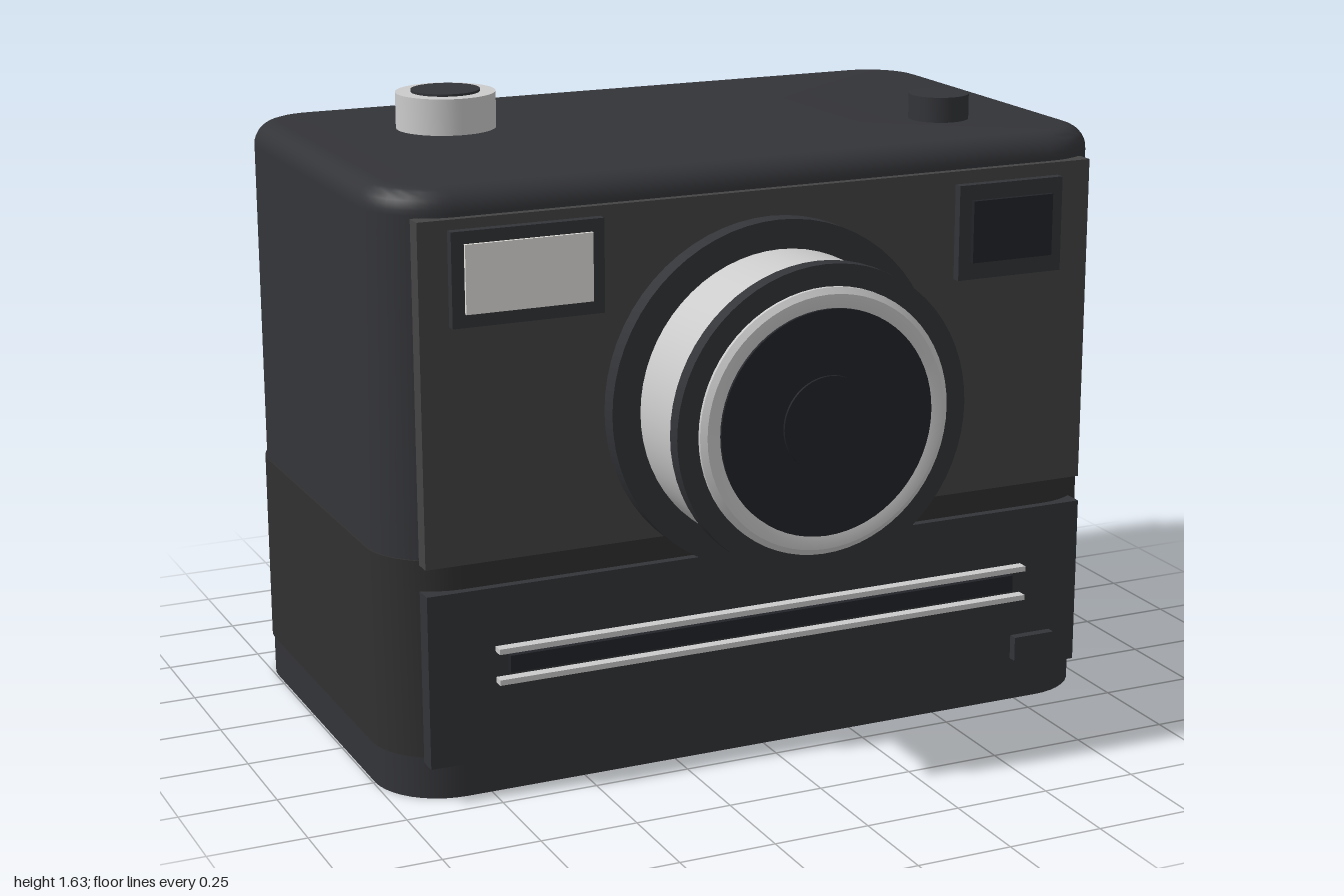
import * as THREE from 'three';
import { toCreasedNormals } from 'three/addons/utils/BufferGeometryUtils.js';

const material = (color) => new THREE.MeshStandardMaterial({ color });
const DARK = material(0x333438);
const BAND = material(0x313030);
const PANEL = material(0x444444);
const BLACK = material(0x222328);
const CHROME = material(0xbcbcbc);
const FLASH = material(0xe4e2de);
const BLUE = material(0x62b4cc);

// Rounded-rectangle solid lofted from rings of [y, inset]
function roundedLoft(halfX, halfZ, zMid, radius, rings, steps = 10) {
  const pos = [], index = [], n = 4 * (steps + 1);
  const sx = [1, -1, -1, 1], sz = [1, 1, -1, -1];
  const addRing = (y, inset, closed) => {
    for (let c = 0; c < 4; c++) for (let i = 0; i <= steps; i++) {
      const a = (c + i / steps) * Math.PI / 2, r = radius - inset;
      if (closed) pos.push(0, y, zMid);
      else pos.push(sx[c] * (halfX - radius) + r * Math.cos(a), y,
        zMid + sz[c] * (halfZ - radius) + r * Math.sin(a));
    }
  };
  addRing(rings[0][0], 0, true);
  rings.forEach(([y, inset]) => addRing(y, inset, false));
  addRing(rings[rings.length - 1][0], 0, true);
  const last = rings.length;
  for (let j = 0; j <= last; j++) for (let i = 0; i < n; i++) {
    const a = j * n + i, b = j * n + (i + 1) % n;
    if (j < last) index.push(a, a + n, b + n);
    if (j > 0) index.push(a, b + n, b);
  }
  const g = new THREE.BufferGeometry();
  g.setAttribute('position', new THREE.Float32BufferAttribute(pos, 3));
  g.setIndex(index);
  return toCreasedNormals(g, 0.6);
}

export function createModel() {
  const model = new THREE.Group();

  const add = (name, geometry, mat, x = 0, y = 0, z = 0) => {
    const mesh = new THREE.Mesh(geometry, mat);
    mesh.name = name;
    mesh.position.set(x, y, z);
    model.add(mesh);
    return mesh;
  };
  // Box given by its limits on each axis
  const box = (name, mat, x0, x1, y0, y1, z0, z1) =>
    add(name, new THREE.BoxGeometry(x1 - x0, y1 - y0, z1 - z0), mat,
      (x0 + x1) / 2, (y0 + y1) / 2, (z0 + z1) / 2);
  // Upright cylinder on the top plate
  const knob = (name, mat, r, x, z, y0, y1) =>
    add(name, new THREE.CylinderGeometry(r, r, y1 - y0, 48), mat, x, (y0 + y1) / 2, z);
  // Lathe around the lens axis; profile is [radius, z]
  const turned = (name, mat, profile) => {
    const points = profile.map(([r, z]) => new THREE.Vector2(r, z));
    const g = toCreasedNormals(new THREE.LatheGeometry(points, 64), 0.5);
    g.rotateX(Math.PI / 2);
    return add(name, g, mat, 0, 0.95, 0);
  };

  // Body shell with a softened top edge and a slightly proud lower band
  const bodyRings = [[0, 0]];
  for (let i = 0; i <= 8; i++) {
    const a = i / 8 * Math.PI / 2;
    bodyRings.push([1.47 + 0.06 * Math.sin(a), 0.06 * (1 - Math.cos(a))]);
  }
  add('body', roundedLoft(0.995, 0.585, -0.16, 0.18, bodyRings), DARK);
  add('lowerBand', roundedLoft(1, 0.589, -0.16, 0.184, [[0.11, 0], [0.62, 0]]), BAND);

  // Front plates
  box('upperFrontPanel', PANEL, -0.917, 0.914, 0.61, 1.463, 0.4, 0.446);
  box('lowerFrontPanel', DARK, -0.917, 0.914, 0.097, 0.543, 0.4, 0.451);

  // Flash and viewfinder
  box('flashFrame', DARK, -0.842, -0.453, 1.205, 1.438, 0.44, 0.47);
  box('flashWindow', FLASH, -0.81, -0.485, 1.238, 1.407, 0.46, 0.478);
  box('viewfinderFrame', DARK, 0.52, 0.82, 1.185, 1.43, 0.44, 0.47);
  box('viewfinderWindow', BLACK, 0.555, 0.786, 1.23, 1.39, 0.46, 0.482);

  // Lens assembly, from the mount outwards
  turned('lensMount', DARK, [[0, 0.4], [0.447, 0.4], [0.447, 0.495], [0, 0.495]]);
  turned('lensBarrel', CHROME, [[0.373, 0.48], [0.373, 0.71]]);
  turned('lensFrontRing', DARK,
    [[0.3, 0.702], [0.388, 0.702], [0.388, 0.743], [0, 0.743]]);
  turned('lensTrimRing', CHROME,
    [[0.333, 0.74], [0.333, 0.752], [0.318, 0.762], [0.298, 0.762], [0.275, 0.755]]);
  turned('lensGlass', BLACK, [[0.283, 0.74], [0.283, 0.765], [0, 0.765]]);
  turned('lensCentre', BLACK, [[0.12, 0.76], [0.12, 0.772], [0, 0.772]]);

  // Picture slot between two rails
  for (const y of [0.305, 0.385])
    box('slotRail', CHROME, -0.743, 0.741, y - 0.007, y + 0.007, 0.445, 0.479);
  box('pictureSlot', BLACK, -0.71, 0.71, 0.323, 0.367, 0.44, 0.467);
  box('frontButton', DARK, 0.718, 0.836, 0.128, 0.193, 0.44, 0.475);

  // Top controls
  knob('shutterCollar', CHROME, 0.13, -0.555, -0.335, 1.51, 1.624);
  knob('shutterButton', DARK, 0.09, -0.555, -0.335, 1.55, 1.63);
  knob('topKnob', DARK, 0.079, 0.67, 0.085, 1.51, 1.596);

  // Back details
  box('eyepiece', BLACK, 0.552, 0.788, 1.223, 1.393, -0.77, -0.73);
  box('indicatorLight', BLUE, -0.66, -0.612, 1.165, 1.218, -0.766, -0.73);

  return model;
}
